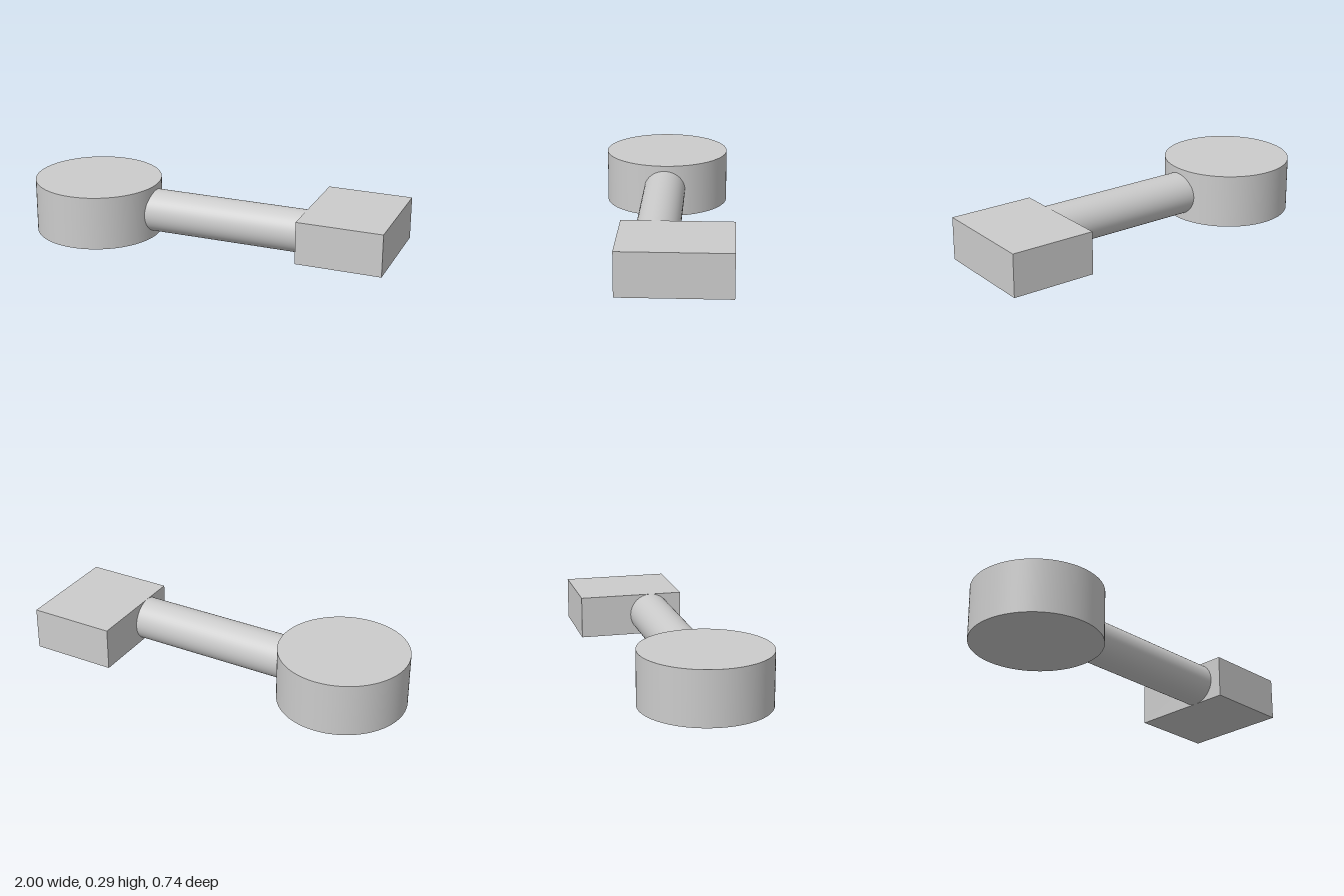
import * as THREE from 'three';

export function createModel() {
  const group = new THREE.Group();
  const material = new THREE.MeshStandardMaterial({ color: 0xcccccc });
  const midY = 0.145; // shared centre height of all parts
  const axisZ = 0.026; // rod axis passes through the disc centre

  const add = (name, geometry, x, z) => {
    const mesh = new THREE.Mesh(geometry, material);
    mesh.name = name;
    mesh.position.set(x, midY, z);
    group.add(mesh);
  };

  // Round end
  add('disc', new THREE.CylinderGeometry(0.344, 0.344, 0.29, 96), -0.656, axisZ);

  // Connecting rod, its ends sunk slightly into both neighbours
  const rodStart = -0.36, rodEnd = 0.545;
  const rod = new THREE.CylinderGeometry(0.115, 0.115, rodEnd - rodStart, 64);
  rod.rotateZ(Math.PI / 2);
  add('rod', rod, (rodStart + rodEnd) / 2, axisZ);

  // Rectangular end, offset towards the back
  add('block', new THREE.BoxGeometry(0.46, 0.23, 0.575), 0.77, -0.0845);

  return group;
}
